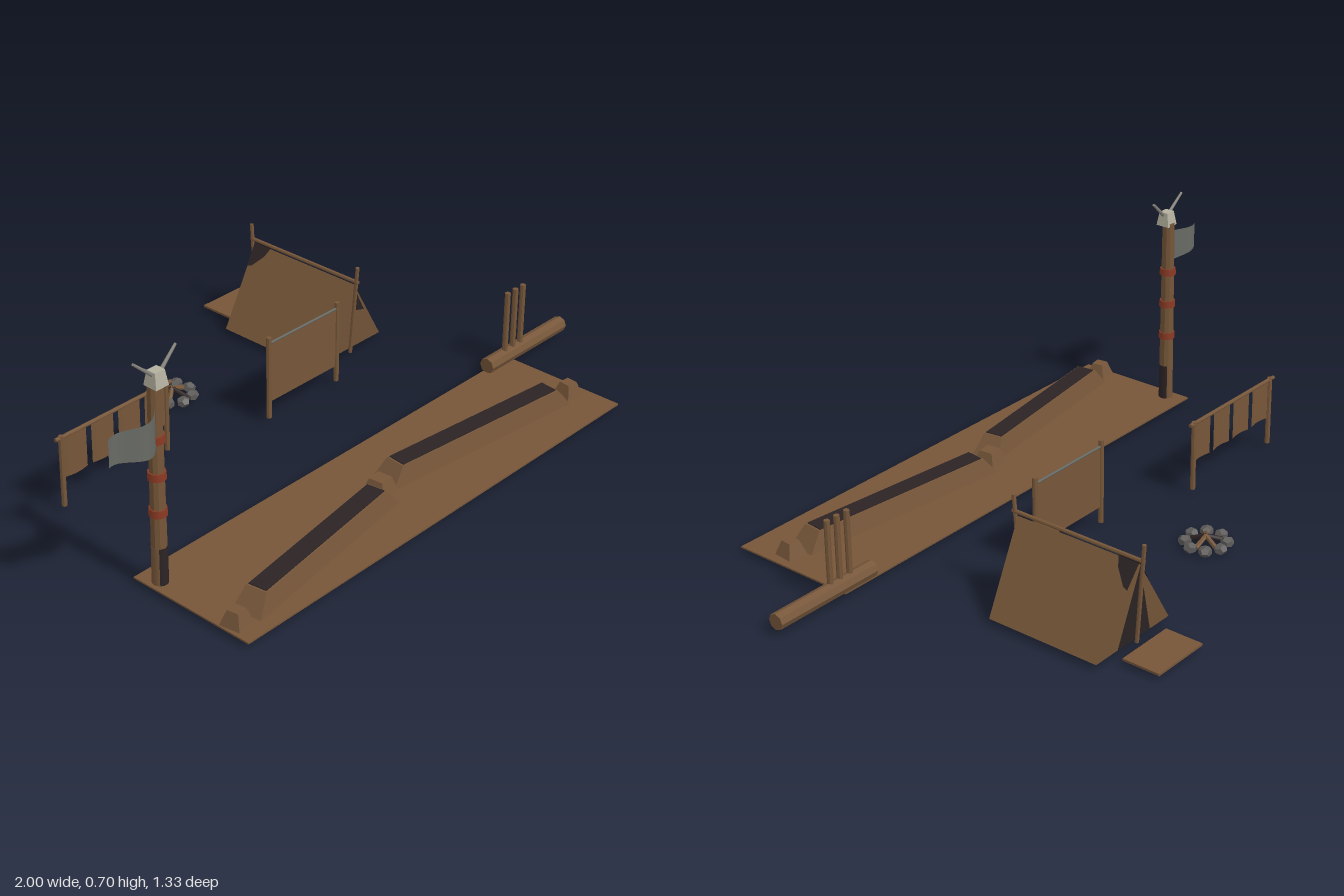
import * as THREE from 'three';

const mat = (name, color, opts = {}) => {
  const m = new THREE.MeshStandardMaterial({ color, ...opts });
  m.name = name;
  return m;
};

export function createModel() {
  const root = new THREE.Group();
  root.name = 'camp';
  const brown = mat('earthBrown', 0x765639, { flatShading: true });
  const hide = mat('hideBrown', 0x765639, { side: THREE.DoubleSide });
  const dark = mat('sootDark', 0x2c2324, { side: THREE.DoubleSide });
  const red = mat('redBinding', 0x8a3a24);
  const bone = mat('bone', 0xb4b09f, { flatShading: true });
  const horn = mat('horn', 0x85827a);
  const cloth = mat('greyCloth', 0x686a64, { side: THREE.DoubleSide });
  const stone = mat('stone', 0x5d5b59, { flatShading: true });

  const group = (name) => {
    const g = new THREE.Group();
    g.name = name;
    root.add(g);
    return g;
  };
  const add = (parent, name, geo, m, x = 0, y = 0, z = 0) => {
    const mesh = new THREE.Mesh(geo, m);
    mesh.name = name;
    mesh.position.set(x, y, z);
    parent.add(mesh);
    return mesh;
  };
  // Round pole between two points
  const pole = (parent, name, a, b, r, m, rTop = r, sides = 8) => {
    const p = new THREE.Vector3(...a), q = new THREE.Vector3(...b);
    const d = q.clone().sub(p);
    const mesh = add(parent, name, new THREE.CylinderGeometry(rTop, r, d.length(), sides), m);
    mesh.position.copy(p).add(q).multiplyScalar(0.5);
    mesh.quaternion.setFromUnitVectors(new THREE.Vector3(0, 1, 0), d.normalize());
    return mesh;
  };
  // Box with its top drawn inwards, standing on y = 0
  const mound = (w, h, d, inX, inZ) => {
    const g = new THREE.BoxGeometry(w, h, d).translate(0, h / 2, 0);
    const p = g.attributes.position;
    for (let i = 0; i < p.count; i++) if (p.getY(i) > h / 2) {
      p.setX(i, p.getX(i) - Math.sign(p.getX(i)) * inX);
      p.setZ(i, p.getZ(i) - Math.sign(p.getZ(i)) * inZ);
    }
    g.computeVertexNormals();
    return g;
  };
  // Flat polygon fan
  const face = (parent, name, pts, m) => {
    const g = new THREE.BufferGeometry().setFromPoints(pts.map((p) => new THREE.Vector3(...p)));
    const idx = [];
    for (let i = 1; i < pts.length - 1; i++) idx.push(0, i, i + 1);
    g.setIndex(idx);
    g.computeVertexNormals();
    return add(parent, name, g, m);
  };

  // Ground and earthworks
  const works = group('earthworks');
  add(works, 'groundPlate', new THREE.BoxGeometry(1.59, 0.005, 0.415), brown, -0.045, 0.0165, 0.457);
  for (const [x0, z0, x1, z1] of [[-0.76, 0.58, -0.105, 0.485], [-0.06, 0.438, 0.658, 0.515]]) {
    const len = Math.hypot(x1 - x0, z1 - z0), yaw = Math.atan2(z0 - z1, x1 - x0);
    const berm = new THREE.Group();
    berm.name = 'berm';
    berm.position.set((x0 + x1) / 2, 0.018, (z0 + z1) / 2);
    berm.rotation.y = yaw;
    works.add(berm);
    add(berm, 'bermBank', mound(len, 0.058, 0.092, 0.045, 0.014), brown);
    add(berm, 'bermTop', new THREE.BoxGeometry(len - 0.1, 0.003, 0.056), dark, 0, 0.059, 0);
    add(berm, 'bermUnderside', new THREE.BoxGeometry(len + 0.04, 0.001, 0.09), dark, 0, -0.0045, 0);
  }
  for (const [x, z, yaw, s] of [[-0.8, 0.585, 0.15, 0.065], [-0.09, 0.453, 0.1, 0.075], [0.69, 0.522, -0.1, 0.065]]) {
    add(works, 'earthLump', mound(s, 0.045, s, 0.015, 0.015), brown, x, 0.018, z).rotation.y = yaw;
  }

  // Carved post with bindings, skull and flag
  const totem = group('flagPost');
  const px = -0.806, pz = 0.315;
  add(totem, 'postShaft', new THREE.CylinderGeometry(0.019, 0.022, 0.49, 10), brown, px, 0.378, pz);
  const half = (start) => new THREE.CylinderGeometry(0.022, 0.023, 0.115, 6, 1, true, start, Math.PI);
  add(totem, 'postBaseScorched', half(-Math.PI / 4), dark, px, 0.0755, pz);
  add(totem, 'postBase', half(Math.PI * 0.75), hide, px, 0.0755, pz);
  for (const y of [0.24, 0.35, 0.46]) {
    add(totem, 'binding', new THREE.CylinderGeometry(0.025, 0.026, 0.022, 10), red, px, y, pz);
  }
  add(totem, 'skull', mound(0.044, 0.044, 0.046, 0.005, 0.008), bone, px, 0.615, pz + 0.008);
  for (const s of [-1, 1]) {
    pole(totem, 'horn', [px + s * 0.012, 0.648, pz + 0.01], [px + s * 0.073, 0.702, pz + 0.005], 0.006, horn, 0.004, 6);
  }
  const flag = new THREE.PlaneGeometry(0.18, 0.1, 14, 1);
  const fp = flag.attributes.position;
  for (let i = 0; i < fp.count; i++) {
    const u = 0.5 - fp.getX(i) / 0.18; // 0 at the post, 1 at the free end
    const y = fp.getY(i) > 0 ? 0.555 : 0.438 + 0.037 * u;
    fp.setXYZ(i, -0.82 - 0.18 * u, y, 0.33 + 0.045 * u + 0.024 * Math.sin(u * 5.2));
  }
  flag.computeVertexNormals();
  add(totem, 'flag', flag, cloth);

  // Drying rack with four hanging hides
  const rack = group('dryingRack');
  const rz = -0.135;
  pole(rack, 'rackBar', [-0.755, 0.236, rz], [-0.32, 0.236, rz], 0.006, brown);
  for (const x of [-0.735, -0.34]) pole(rack, 'rackPost', [x, 0.018, rz], [x, 0.242, rz], 0.008, brown);
  for (let i = 0; i < 4; i++) {
    const g = new THREE.PlaneGeometry(0.082, 0.128, 6, 4);
    const p = g.attributes.position;
    for (let k = 0; k < p.count; k++) p.setZ(k, 0.006 * Math.cos(p.getX(k) * 38));
    g.computeVertexNormals();
    add(rack, 'hangingHide', g, hide, -0.685 + i * 0.101, 0.17, rz);
  }

  // Hide screen between two posts
  const screen = group('hideScreen');
  for (const x of [-0.01, 0.286]) pole(screen, 'screenPost', [x, 0.016, -0.045], [x, 0.284, -0.045], 0.008, brown);
  add(screen, 'screenPanel', new THREE.BoxGeometry(0.29, 0.195, 0.004), hide, 0.138, 0.166, -0.045);
  pole(screen, 'screenRope', [-0.01, 0.264, -0.045], [0.286, 0.264, -0.045], 0.004, cloth, 0.004, 6);

  // Ridge tent
  const tent = group('tent');
  const cx = 0.445, apexF = [cx, 0.257, -0.118], apexB = [cx, 0.257, -0.532];
  const cornerF = (s) => [cx + s * 0.157, 0.017, -0.145];
  const cornerB = (s) => [cx + s * 0.157, 0.017, -0.513];
  for (const s of [-1, 1]) {
    const slope = [apexF, cornerF(s), cornerB(s), apexB];
    face(tent, 'tentSide', s > 0 ? slope.reverse() : slope, hide);
    const off = (t, z) => [cx + s * (0.157 * t + 0.002), 0.259 - 0.24 * t, z];
    const patch = [off(0, -0.465), off(0.1, -0.475), off(0.25, -0.51), off(0.27, -0.526), off(0, -0.532)];
    face(tent, 'sootPatch', s > 0 ? patch.reverse() : patch, dark);
  }
  face(tent, 'tentFront', [cornerF(-1), cornerF(1), apexF], hide);
  face(tent, 'tentBack', [cornerB(1), cornerB(-1), apexB], hide);
  face(tent, 'tentFloor', [cornerF(-1), cornerB(-1), cornerB(1), cornerF(1)], hide);
  face(tent, 'frontGap', [[0.45, 0.16, -0.126], [0.505, 0.145, -0.127], [0.455, 0.23, -0.119]], dark);
  face(tent, 'backDoorway', [[0.515, 0.02, -0.516], [0.375, 0.02, -0.516], [cx, 0.252, -0.535]], dark);
  pole(tent, 'ridgePole', [cx, 0.268, -0.1], [cx, 0.268, -0.548], 0.006, brown);
  pole(tent, 'frontTentPole', [cx, 0.016, -0.128], [cx, 0.318, -0.104], 0.006, brown);
  pole(tent, 'backTentPole', [cx, 0.016, -0.526], [cx, 0.318, -0.547], 0.006, brown);
  add(tent, 'doorMat', new THREE.BoxGeometry(0.19, 0.007, 0.12), brown, 0.443, 0.0175, -0.61);

  // Log with upright stakes
  const logs = group('stakeLog');
  pole(logs, 'log', [0.63, 0.041, 0.262], [1, 0.041, 0.262], 0.025, brown, 0.025, 8);
  for (const x of [0.715, 0.753, 0.79]) pole(logs, 'stake', [x, 0.04, 0.264], [x, 0.26, 0.264], 0.009, brown);

  // Fire ring
  const fire = group('firePit');
  for (let i = 0; i < 8; i++) {
    const a = (i / 8) * Math.PI * 2 + 0.2;
    const rock = add(fire, 'fireStone', new THREE.DodecahedronGeometry(0.021), stone,
      -0.108 + 0.061 * Math.cos(a), 0.017, -0.352 + 0.061 * Math.sin(a));
    rock.rotation.y = -a;
    rock.scale.y = 0.8;
  }
  for (let i = 0; i < 5; i++) {
    const a = (i / 5) * Math.PI * 2;
    pole(fire, 'firewood', [-0.108 + 0.05 * Math.cos(a), 0.016, -0.352 + 0.05 * Math.sin(a)],
      [-0.108, 0.035, -0.352], 0.008, i % 2 ? dark : brown, 0.007, 6);
  }
  return root;
}
